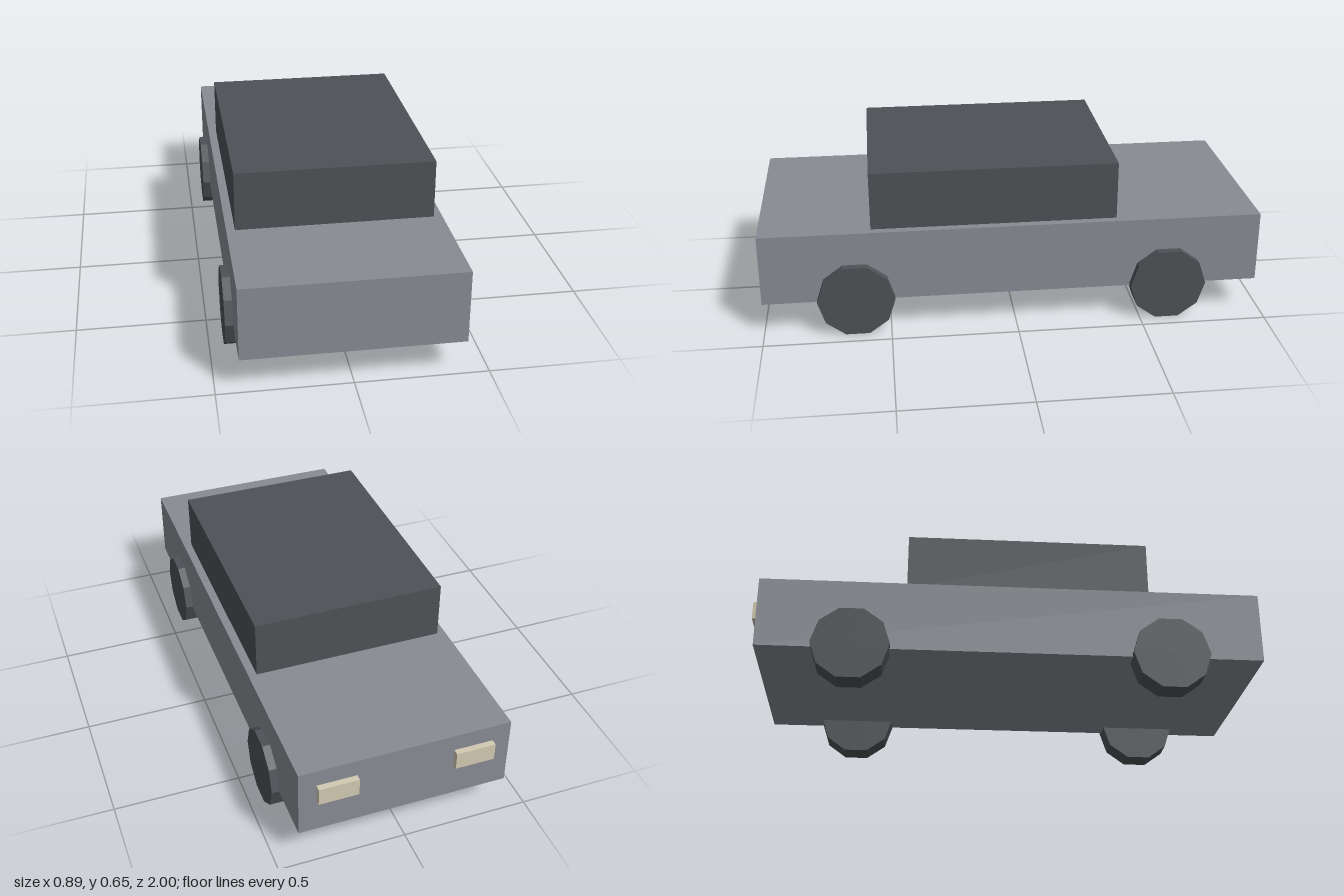
import * as THREE from 'three';

function material(name, color) {
  const m = new THREE.MeshStandardMaterial({ color, flatShading: true });
  m.name = name;
  return m;
}

export function createModel() {
  const car = new THREE.Group();
  car.name = 'car';
  const paint = material('grey paint', 0x888c93);
  const dark = material('dark grey', 0x4e5256);
  const cream = material('cream lamp', 0xd2cab2);

  const add = (name, geometry, mat, x, y, z) => {
    const mesh = new THREE.Mesh(geometry, mat);
    mesh.name = name;
    mesh.position.set(x, y, z);
    car.add(mesh);
  };

  // Body and cabin
  add('body', new THREE.BoxGeometry(0.826, 0.286, 1.976), paint, 0, 0.279, 0.012);
  add('cabin', new THREE.BoxGeometry(0.76, 0.232, 0.966), dark, 0, 0.537, 0.082);

  // Ten-sided wheels, flat on the ground, axles along x
  const wheel = new THREE.CylinderGeometry(0.152, 0.152, 0.1, 10).rotateZ(Math.PI / 2);
  const lamp = new THREE.BoxGeometry(0.155, 0.072, 0.05);
  for (const [side, s] of [['left', 1], ['right', -1]]) {
    add(side + 'FrontWheel', wheel, dark, s * 0.394, 0.145, 0.633);
    add(side + 'BackWheel', wheel, dark, s * 0.394, 0.145, -0.609);
    // Lamps set into the back face
    add(side + 'BackLamp', lamp, cream, s * 0.267, 0.317, -0.975);
  }
  return car;
}
